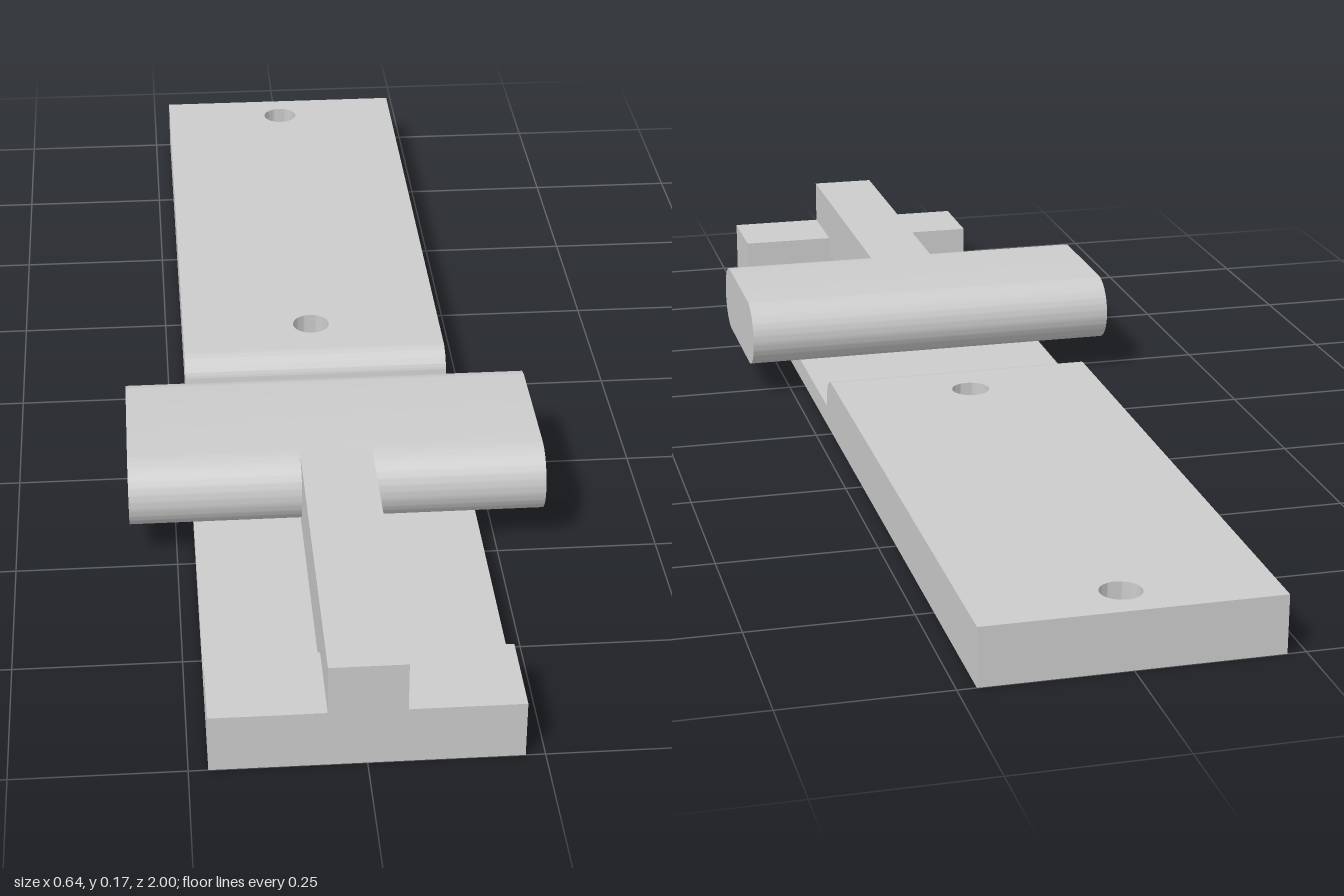
import * as THREE from 'three';
import { toCreasedNormals } from 'three/addons/utils/BufferGeometryUtils.js';

const HALF = 0.222;      // half width of the base
const TOP = 0.09;        // height of the plate and end block
const FLOOR = 0.035;     // height of the thin strip

export function createModel() {
  const group = new THREE.Group();
  const material = new THREE.MeshStandardMaterial({ color: 0xcccccc });

  function add(name, geometry) {
    const mesh = new THREE.Mesh(toCreasedNormals(geometry, 0.6), material);
    mesh.name = name;
    group.add(mesh);
    return mesh;
  }

  // Extrudes a side profile drawn in (z, y) across the width
  function acrossWidth(shape, halfWidth) {
    const g = new THREE.ExtrudeGeometry(shape, { depth: halfWidth * 2, bevelEnabled: false, curveSegments: 16 });
    return g.translate(0, 0, -halfWidth).rotateY(-Math.PI / 2);
  }

  // Rear plate with two screw holes, drawn in (x, -z)
  const plate = new THREE.Shape();
  plate.moveTo(-HALF, 0).lineTo(HALF, 0).lineTo(HALF, 1).lineTo(-HALF, 1).closePath();
  for (const z of [-0.932, -0.08]) {
    plate.holes.push(new THREE.Path().absarc(0, -z, 0.031, 0, Math.PI * 2, true));
  }
  add('rearPlate', new THREE.ExtrudeGeometry(plate, { depth: TOP, bevelEnabled: false, curveSegments: 32 })
    .rotateX(-Math.PI / 2));

  // Rounded step, thin strip and raised front block
  const r = 0.04;
  const bed = new THREE.Shape();
  bed.moveTo(0, 0).lineTo(1, 0).lineTo(1, TOP).lineTo(0.862, TOP).lineTo(0.862, FLOOR)
    .lineTo(0.043, FLOOR).lineTo(0.043, TOP - r);
  bed.absarc(0.043 - r, TOP - r, r, 0, Math.PI / 2, false);
  bed.lineTo(0, TOP).closePath();
  add('frontBed', acrossWidth(bed, HALF));

  // Crossbar with fully rounded front and rear edges
  const low = 0.054, high = 0.167, radius = (high - low) / 2, mid = (high + low) / 2;
  const bar = new THREE.Shape();
  bar.absarc(0.503 - radius, mid, radius, -Math.PI / 2, Math.PI / 2, false);
  bar.absarc(0.193 + radius, mid, radius, Math.PI / 2, Math.PI * 1.5, false);
  bar.closePath();
  add('crossbar', acrossWidth(bar, 0.322));

  // Arm joining the crossbar to the front block
  const armStart = 0.503 - radius;
  add('arm', new THREE.BoxGeometry(0.112, high - low, 1 - armStart))
    .position.set(0, mid, (1 + armStart) / 2);

  return group;
}
